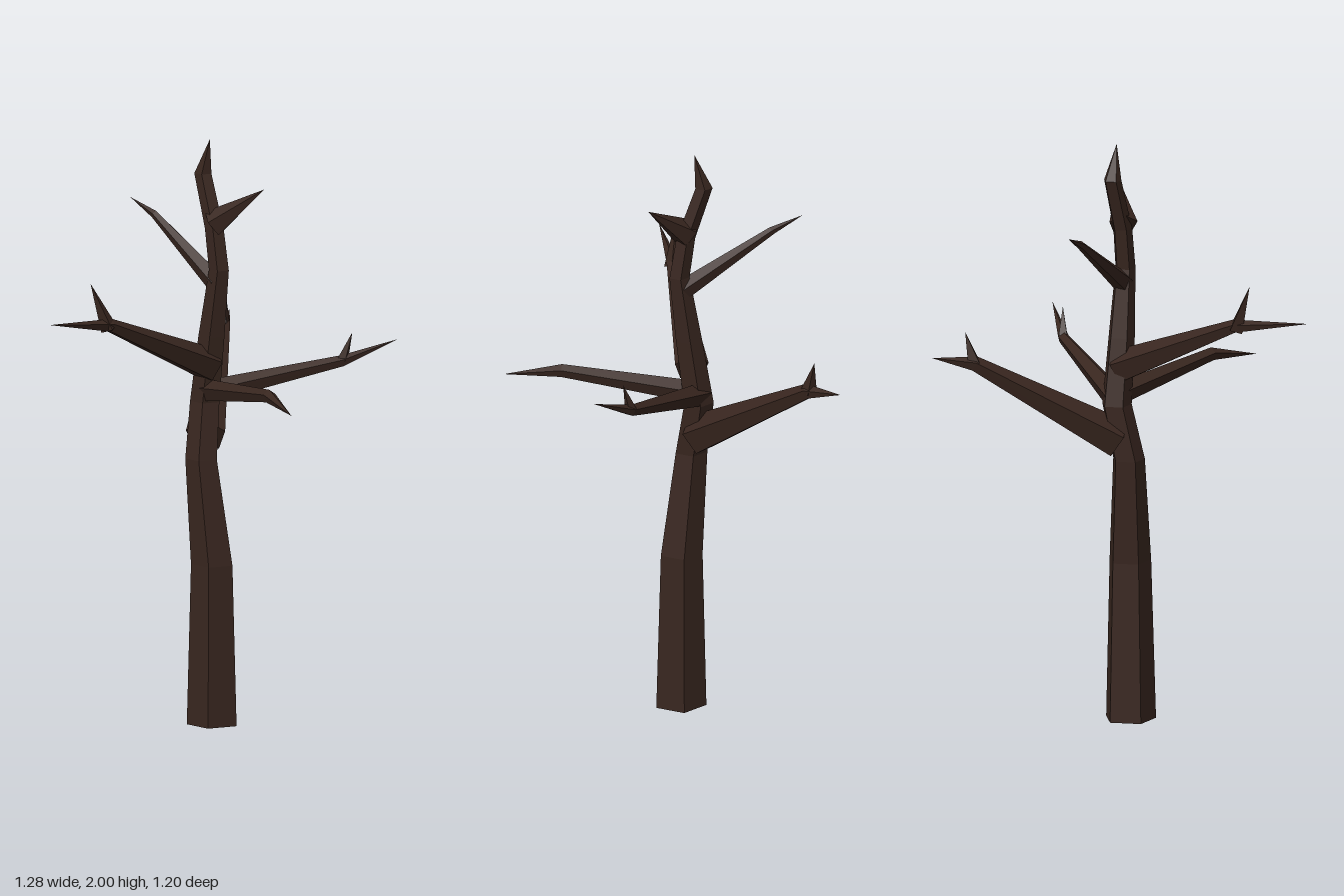
import * as THREE from 'three';

const bark = new THREE.MeshStandardMaterial({ color: 0x38261f, flatShading: true });
const UP = new THREE.Vector3(0, 1, 0);
const FORWARD = new THREE.Vector3(0, 0, 1);

// Faceted limb through stations [x, y, z, radius]; a radius of 0 makes a pointed tip.
function limb(name, stations, { sides = 5, ref = UP, phase = 0, level = false } = {}) {
  const centres = stations.map(([x, y, z]) => new THREE.Vector3(x, y, z));
  const last = stations.length - 1;
  const rings = centres.map((c, i) => {
    const t = level
      ? UP.clone()
      : centres[Math.min(i + 1, last)].clone().sub(centres[Math.max(i - 1, 0)]).normalize();
    const u = ref.clone().addScaledVector(t, -ref.dot(t)).normalize();
    const v = t.clone().cross(u);
    return Array.from({ length: sides }, (_, j) => {
      const a = phase + (j / sides) * Math.PI * 2;
      const r = stations[i][3];
      return c.clone().addScaledVector(u, r * Math.cos(a)).addScaledVector(v, r * Math.sin(a));
    });
  });

  const pts = [];
  for (let j = 0; j < sides; j++) {
    const k = (j + 1) % sides;
    pts.push(centres[0], rings[0][k], rings[0][j]); // root cap
    for (let i = 0; i < last; i++) {
      const a = rings[i][j], b = rings[i][k], c = rings[i + 1][k], d = rings[i + 1][j];
      pts.push(a, b, c);
      if (stations[i + 1][3] > 0) pts.push(a, c, d);
    }
  }
  const geometry = new THREE.BufferGeometry().setFromPoints(pts);
  geometry.computeVertexNormals();
  const mesh = new THREE.Mesh(geometry, bark);
  mesh.name = name;
  return mesh;
}

export function createModel() {
  const tree = new THREE.Group();
  tree.name = 'bareTree';

  // Crooked five-sided trunk with level rings
  tree.add(limb('trunk', [
    [0.045, 0, 0, 0.09],
    [0.045, 0.55, -0.002, 0.075],
    [0.018, 0.91, -0.032, 0.057],
    [0.045, 1.1, -0.062, 0.053],
    [0.055, 1.33, -0.03, 0.047],
    [0.068, 1.56, 0, 0.036],
    [0.06, 1.7, -0.02, 0.034],
    [0.045, 1.88, -0.08, 0.031],
    [0.055, 2, -0.05, 0],
  ], { ref: FORWARD, phase: Math.PI, level: true }));

  // Main branches: root, bend, tip
  const branches = {
    rightBranch: [[0.05, 1.225, -0.04, 0.06], [-0.38, 1.42, 0.09, 0.024], [-0.645, 1.46, 0.18, 0]],
    leftBranch: [[0.04, 1.125, -0.07, 0.042], [0.48, 1.23, 0.1, 0.02], [0.64, 1.31, 0.2, 0]],
    frontBranch: [[0.045, 1.135, -0.06, 0.04], [0.07, 1.195, 0.4, 0.023], [0.06, 1.165, 0.6, 0]],
    backBranch: [[0.045, 0.98, -0.06, 0.07], [0.3, 1.265, -0.48, 0.027], [0.38, 1.29, -0.6, 0]],
    upperBackBranch: [[0.065, 1.51, -0.01, 0.036], [-0.035, 1.705, -0.3, 0.014], [-0.08, 1.75, -0.4, 0]],
    upperFrontBranch: [[0.055, 1.715, -0.02, 0.05], [0.195, 1.84, 0.085, 0]],
  };
  for (const [name, stations] of Object.entries(branches)) tree.add(limb(name, stations));

  // Small spikes growing at the bends
  const twigs = {
    rightTwig: [[-0.385, 1.41, 0.092, 0.03], [-0.452, 1.57, 0.09, 0]],
    leftTwig: [[0.48, 1.235, 0.1, 0.02], [0.505, 1.33, 0.122, 0]],
    backTwig: [[0.3, 1.265, -0.48, 0.028], [0.32, 1.375, -0.502, 0]],
  };
  for (const [name, stations] of Object.entries(twigs)) {
    tree.add(limb(name, stations, { sides: 4, ref: FORWARD }));
  }
  return tree;
}
